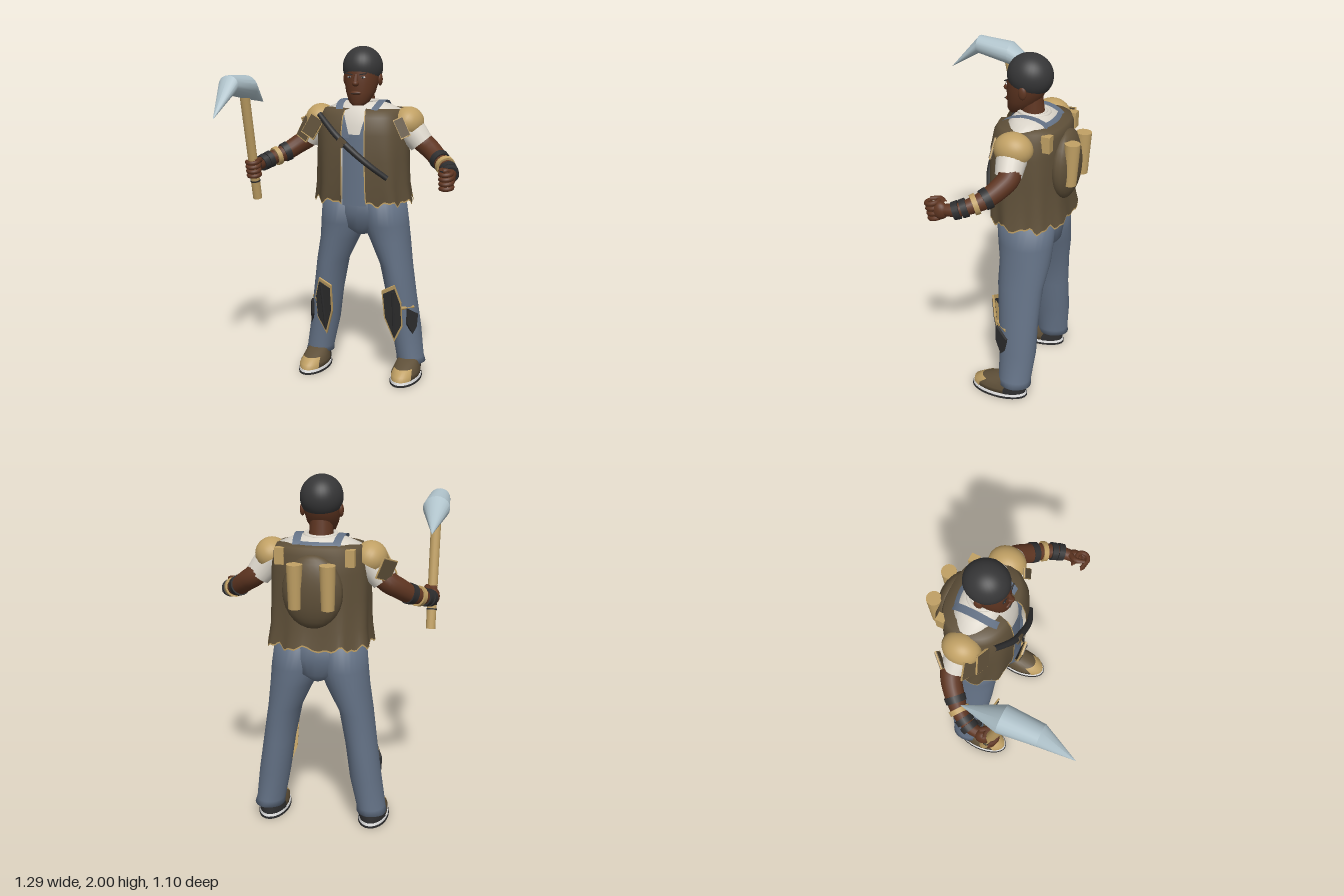
import * as THREE from 'three';
import { toCreasedNormals } from 'three/addons/utils/BufferGeometryUtils.js';

const paint = (name, color, double) => {
  const m = new THREE.MeshStandardMaterial({ color });
  m.name = name;
  if (double) m.side = THREE.DoubleSide;
  return m;
};
const V = (p) => new THREE.Vector3(...p);
const flip = (s, p) => [p[0] * s, p[1], p[2]];

// Skin over horizontal sections [x, y, z, rx, rz]; open arcs run from angle a0 to a1 (0 = front).
function loft(sections, { a0 = 0, a1 = Math.PI * 2, n = 28, pow = 1, warp, crease = 1 } = {}) {
  const closed = a1 - a0 > 6.28, cols = closed ? n : n + 1, pos = [], idx = [];
  const p = (v) => Math.sign(v) * Math.abs(v) ** pow;
  sections.forEach(([x, y, z, rx, rz], i) => {
    for (let j = 0; j < cols; j++) {
      const a = a0 + (a1 - a0) * j / n, [k, dy] = warp ? warp(a, i) : [1, 0];
      pos.push(x + rx * k * p(Math.sin(a)), y + dy, z + rz * k * p(Math.cos(a)));
    }
  });
  for (let i = 0; i < sections.length - 1; i++) for (let j = 0; j < n; j++) {
    const a = i * cols + j, b = i * cols + (j + 1) % cols;
    idx.push(a, b, b + cols, a, b + cols, a + cols);
  }
  if (closed) [0, sections.length - 1].forEach((i, top) => {
    const c = pos.length / 3;
    pos.push(...sections[i].slice(0, 3));
    for (let j = 0; j < n; j++) {
      const a = i * cols + j, b = i * cols + (j + 1) % cols;
      idx.push(...(top ? [c, a, b] : [c, b, a]));
    }
  });
  const g = new THREE.BufferGeometry();
  g.setAttribute('position', new THREE.Float32BufferAttribute(pos, 3));
  g.setIndex(idx);
  return toCreasedNormals(g, crease);
}

// Round tube along a curve with a changing radius.
function limb(points, radii, n = 12, seg = 20) {
  const curve = new THREE.CatmullRomCurve3(points.map(V));
  const g = new THREE.TubeGeometry(curve, seg, 1, n), p = g.attributes.position, v = new THREE.Vector3();
  for (let i = 0; i < p.count; i++) {
    const t = Math.floor(i / (n + 1)) / seg, c = curve.getPointAt(t);
    const f = t * (radii.length - 1), k = Math.min(Math.floor(f), radii.length - 2);
    v.fromBufferAttribute(p, i).sub(c).multiplyScalar(THREE.MathUtils.lerp(radii[k], radii[k + 1], f - k)).add(c);
    p.setXYZ(i, v.x, v.y, v.z);
  }
  return g;
}

// Straight rod between two points.
function rod(a, b, ra, rb = ra, n = 16) {
  const d = V(b).sub(V(a)), g = new THREE.CylinderGeometry(rb, ra, d.length(), n);
  g.applyQuaternion(new THREE.Quaternion().setFromUnitVectors(new THREE.Vector3(0, 1, 0), d.normalize()));
  return g.translate((a[0] + b[0]) / 2, (a[1] + b[1]) / 2, (a[2] + b[2]) / 2);
}

const blob = (c, r) => new THREE.SphereGeometry(1, 20, 14).scale(...r).translate(...c);

// Flat band of cloth following points, widened along x.
function ribbon(points, w) {
  const pts = new THREE.CatmullRomCurve3(points.map(V)).getPoints(14), pos = [], idx = [];
  pts.forEach((p, i) => {
    pos.push(p.x - w, p.y, p.z, p.x + w, p.y, p.z);
    if (i) idx.push(2 * i - 2, 2 * i - 1, 2 * i + 1, 2 * i - 2, 2 * i + 1, 2 * i);
  });
  const g = new THREE.BufferGeometry();
  g.setAttribute('position', new THREE.Float32BufferAttribute(pos, 3));
  g.setIndex(idx);
  g.computeVertexNormals();
  return g;
}

const plate = (pts, k, depth) => new THREE.ExtrudeGeometry(
  new THREE.Shape(pts.map(([x, y]) => new THREE.Vector2(x * k, y * k))), { depth, bevelEnabled: false });

export function createModel() {
  const skin = paint('skin', 0x5e3521), hair = paint('hair', 0x363637), black = paint('black leather', 0x2e2e2f);
  const cloth = paint('brown cloth', 0x5f5039, true), denim = paint('denim', 0x647286, true);
  const cream = paint('cream linen', 0xdad4c9, true), gold = paint('gold', 0xc0a064, true);
  const steel = paint('steel', 0xafc2ca), white = paint('white', 0xf4f4f4);
  const model = new THREE.Group(), body = new THREE.Group();
  body.name = 'body';
  body.position.x = 0.012;
  model.add(body);
  const add = (name, geo, mat, parent = body) => {
    const m = new THREE.Mesh(geo, mat);
    m.name = name;
    parent.add(m);
    return m;
  };

  // Head
  add('head', loft([[0, 1.665, -.14, .035, .03], [0, 1.685, -.16, .06, .06], [0, 1.74, -.19, .086, .092],
    [0, 1.8, -.205, .1, .11], [0, 1.86, -.215, .105, .115], [0, 1.93, -.22, .1, .11], [0, 1.98, -.22, .05, .06]]), skin);
  add('neck', rod([0, 1.6, -.25], [0, 1.76, -.235], .07, .062, 20), skin);
  const cap = add('hair', new THREE.SphereGeometry(1, 32, 20, 0, Math.PI * 2, 0, Math.PI * .65).scale(.117, .12, .127), hair);
  cap.position.set(0, 1.88, -.225);
  cap.rotation.x = -.22;
  add('nose', blob([0, 1.793, -.096], [.02, .018, .025]), skin);
  add('noseBridge', rod([0, 1.845, -.104], [0, 1.795, -.088], .009, .014, 10), skin);
  add('lips', blob([0, 1.738, -.102], [.034, .012, .014]), skin);
  add('mouthLine', new THREE.BoxGeometry(.05, .003, .006).translate(0, 1.738, -.089), black);
  for (const s of [-1, 1]) {
    add('eyeWhite', blob([s * .04, 1.828, -.108], [.015, .006, .006]), white);
    add('pupil', blob([s * .04, 1.828, -.104], [.007, .006, .004]), black);
    add('eyebrow', new THREE.BoxGeometry(.042, .006, .008).rotateZ(s * .18).translate(s * .042, 1.846, -.104), black);
    add('ear', blob([s * .106, 1.81, -.225], [.014, .036, .024]), skin);
  }

  // Shirt, overalls bib and straps
  add('shirt', loft([[0, 1.11, -.26, .23, .18], [0, 1.35, -.25, .235, .165], [0, 1.55, -.25, .24, .165],
    [0, 1.64, -.255, .225, .125], [0, 1.665, -.255, .16, .105], [0, 1.685, -.25, .09, .085]], { crease: 2 }), cream);
  add('collar', new THREE.TorusGeometry(.082, .014, 8, 28).rotateX(Math.PI / 2 - .08).translate(0, 1.682, -.25), cream);
  add('bib', loft([[0, 1.08, -.255, .25, .185], [0, 1.35, -.25, .25, .18], [0, 1.5, -.25, .25, .178]],
    { a0: -.3, a1: .3, n: 8 }), denim);
  add('backYoke', loft([[0, 1.58, -.25, .25, .17], [0, 1.64, -.25, .24, .15], [0, 1.66, -.25, .2, .115]],
    { a0: Math.PI - .6, a1: Math.PI + .6, n: 10 }), denim);
  for (const s of [-1, 1]) add('overallStrap', ribbon([[.05, 1.48, -.068], [.085, 1.6, -.085], [.115, 1.66, -.14],
    [.118, 1.69, -.25], [.11, 1.66, -.36], [.1, 1.58, -.42]].map((p) => flip(s, p)), .022), denim);

  // Ragged open vest with trim
  const rows = [[0, 1.1, -.267, .292, .213], [0, 1.2, -.253, .278, .21], [0, 1.35, -.248, .275, .208], [0, 1.5, -.246, .27, .205],
    [0, 1.6, -.255, .255, .195], [0, 1.638, -.26, .235, .178], [0, 1.646, -.26, .185, .125]];
  const hem = (a) => .012 * Math.sin(a * 11) + .009 * Math.sin(a * 23 + 1);
  const drape = (a, i) => [1 + Math.max(0, .035 - i * .01) * Math.sin(a * 9 + 1), i ? 0 : hem(a)];
  const vestArc = { a0: .19, a1: Math.PI * 2 - .19, n: 90, pow: .8, warp: drape, crease: 1.2 };
  add('vest', loft(rows, vestArc), cloth);
  add('vestHemTrim', loft([[0, 1.093, -.267, .293, .214], [0, 1.102, -.267, .293, .214]],
    { ...vestArc, warp: (a) => [drape(a, 0)[0], hem(a)] }), gold);
  for (const [a0, a1] of [[.18, .2], [-.2, -.18]])
    add('vestEdgeTrim', loft(rows.slice(0, 6), { a0, a1, n: 1, pow: .8, warp: (a, i) => [drape(a, i)[0] * 1.004, i ? 0 : hem(a)] }), gold);
  add('chestStrap', limb([[-.22, 1.61, -.085], [-.1, 1.5, -.035], [0, 1.415, -.026], [.1, 1.335, -.035], [.2, 1.255, -.075]],
    [.016, .018, .02, .018, .016]), black);
  add('strapBuckle', new THREE.BoxGeometry(.05, .045, .012).rotateZ(-.7).translate(-.06, 1.46, -.014), cloth);

  // Backpack with two rolls
  add('backpack', blob([.005, 1.41, -.45], [.165, .2, .075]), cloth);
  for (const x of [-.088, .088]) add('packRoll', rod([x, 1.33, -.503], [x, 1.57, -.51], .036, .043, 18), gold);

  // Hips and legs
  add('hips', loft([[0, .885, -.28, .05, .1], [0, .93, -.278, .16, .145], [0, 1.02, -.272, .24, .16], [0, 1.16, -.267, .25, .175]], { crease: 2 }), denim);
  const leg = [[.302, .085, -.287, .087, .1], [.296, .12, -.285, .083, .098], [.266, .3, -.29, .09, .108], [.238, .5, -.28, .09, .118],
    [.205, .7, -.275, .096, .134], [.16, .85, -.28, .122, .148], [.135, .95, -.275, .138, .158], [.118, 1.12, -.265, .135, .172]];
  const guard = [[.012, .18], [-.068, .14], [-.063, -.04], [-.008, -.21], [.047, -.1], [.047, .06]];
  const wing = [[-.045, .08], [.045, .03], [.035, -.05], [0, -.09], [-.045, -.02]];
  for (const s of [-1, 1]) {
    const at = (secs) => secs.map(([x, ...r]) => [x * s, ...r]);
    add('trouserLeg', loft(at(leg), { crease: 2, warp: (a, i) => [1 + .015 * Math.sin(a * 5 + i * 2), 0] }), denim);

    // Shin guards
    const shin = new THREE.Group();
    shin.name = 'shinGuard';
    shin.position.set(s * .228, .43, -.158);
    shin.rotation.set(.2, s * .15, 0);
    body.add(shin);
    const sided = (pts) => pts.map(([x, y]) => [x * s, y]);
    add('guardEdge', plate(sided(guard), 1, .012), gold, shin);
    add('guardPlate', plate(sided(guard), .87, .018), black, shin);
    add('guardRidge', rod([0, .14, .016], [-.008 * s, -.16, .016], .008, .008, 6), black, shin);
    const side = add('sideGuard', plate(sided(wing), 1, .014), black);
    side.position.set(s * .32, .37, -.215);
    side.rotation.y = s * 1.1;
    add('guardClasp', rod([s * .265, .45, -.16], [s * .325, .445, -.24], .012, .01, 8), gold);

    // Shoes
    const x = .298;
    const shoe = [[x, .026, -.19, .08, .162], [x, .055, -.192, .082, .158], [x, .085, -.215, .072, .13],
      [x, .112, -.25, .064, .095], [x, .13, -.28, .06, .07]];
    add('shoe', loft(at(shoe), { crease: 2 }), cloth);
    const over = at(shoe).slice(0, 4).map(([a, y, z, rx, rz]) => [a, y + .001, z, rx + .003, rz + .003]);
    add('toeCap', loft(over.slice(0, 3), { a0: -.85, a1: .85, n: 12 }), gold);
    add('heel', loft(over, { a0: Math.PI - 1.25, a1: Math.PI + 1.25, n: 14 }), black);
    add('midsole', loft(at([[x, .011, -.19, .086, .171], [x, .027, -.19, .084, .168]])), white);
    add('sole', loft(at([[x, 0, -.19, .089, .174], [x, .012, -.19, .089, .174]])), black);

    // Shoulders
    const pad = add('shoulderPad', new THREE.SphereGeometry(1, 24, 14, 0, Math.PI * 2, 0, Math.PI * .56).scale(.092, .095, .108), gold);
    pad.position.set(s * .272, 1.562, -.25);
    pad.rotation.z = -s * .5;
    add('sleeve', limb([[.24, 1.57, -.25], [.3, 1.51, -.252], [.352, 1.445, -.258]].map((p) => flip(s, p)), [.075, .083, .072], 18), cream);
    add('shoulderTab', new THREE.BoxGeometry(.05, .09, .05).translate(s * .19, 1.59, -.405), gold);
    const flaps = s < 0 ? [[.34, 1.51, -.17, .1, .14, .4], [.28, 1.53, -.125, .1, .13, .15], [.37, 1.52, -.33, .1, .12, 2.4]]
      : [[.27, 1.545, -.13, .06, .12, .3]];
    for (const [fx, fy, fz, w, h, turn] of flaps) {
      const f = new THREE.Group();
      f.name = 'shoulderFlap';
      f.position.set(s * fx, fy, fz);
      f.rotation.set(-.25, s * turn, s * .5);
      body.add(f);
      add('flapEdge', new THREE.BoxGeometry(w, h, .008), gold, f);
      add('flapCloth', new THREE.BoxGeometry(w * .9, h * .9, .016), cloth, f);
    }

    // Arms, wrist bands and fists
    const P = (...p) => flip(s, p);
    add('arm', limb([P(.29, 1.52, -.255), P(.37, 1.44, -.268), P(.42, 1.405, -.245), P(.48, 1.36, -.195), P(.53, 1.335, -.145),
      P(.575, 1.31, -.07), P(.586, 1.3, 0)], [.062, .062, .058, .054, .046, .037, .032], 16, 28), skin);
    add('upperBand', rod(P(.472, 1.366, -.205), P(.497, 1.352, -.18), .06, .057, 20), black);
    add('goldBangle', rod(P(.518, 1.341, -.159), P(.534, 1.333, -.138), .058, .056, 20), gold);
    add('wristCuff', rod(P(.55, 1.325, -.115), P(.566, 1.315, -.088), .052, .05, 20), black);
    add('wristCuff', rod(P(.57, 1.313, -.08), P(.584, 1.303, -.05), .051, .048, 20), black);
    add('palm', blob(P(.592, 1.297, .02), [.036, .05, .045]), skin);
    for (let i = 0; i < 4; i++) {
      const f = add('finger', new THREE.TorusGeometry(.033, .0135, 8, 20, Math.PI * 1.6), skin);
      const y = 1.252 + i * .027;
      f.position.set(s * .584, y, .058 + (y - 1.29) * .23);
      f.rotation.set(Math.PI / 2 + .226, 0, s < 0 ? -2.2 : -2.5);
    }
    add('thumb', limb([P(.575, 1.33, .0), P(.552, 1.342, .04), P(.566, 1.338, .09)], [.018, .016, .012], 8, 8), skin);
  }

  // Pickaxe
  const pick = new THREE.Group();
  pick.name = 'pickaxe';
  model.add(pick);
  add('handle', rod([-.57, 1.105, .016], [-.57, 1.77, .168], .027, .029, 16), gold, pick);
  for (const t of [.16, .2]) add('gripRing', rod([-.57, 1.105 + t * .665, .016 + t * .152], [-.57, 1.113 + t * .665, .018 + t * .152], .03), black, pick);
  add('pickHead', loft([[-.57, -.09, -1.67, .001, .001], [-.57, .145, -1.775, .077, .068], [-.57, .355, -1.802, .06, .054],
    [-.57, .545, -1.635, .001, .001]], { n: 20, crease: .5 }).rotateX(Math.PI / 2), steel, pick);
  return model;
}
